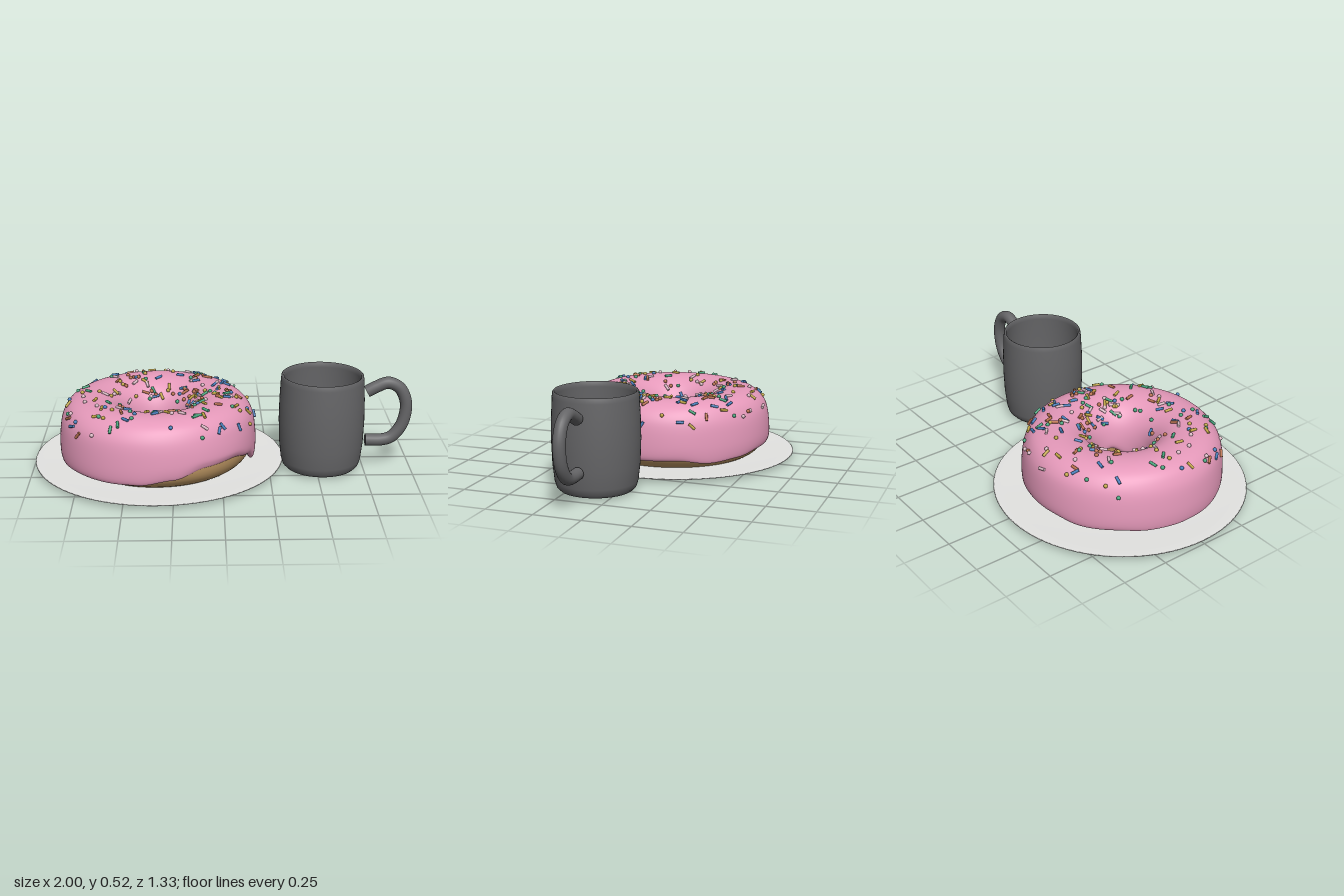
import * as THREE from 'three';
import { mergeGeometries } from 'three/addons/utils/BufferGeometryUtils.js';

const material = (name, color, side = THREE.FrontSide) => {
  const m = new THREE.MeshStandardMaterial({ color, side });
  m.name = name;
  return m;
};
const v2 = (list) => list.map(([x, y]) => new THREE.Vector2(x, y));
const TAU = Math.PI * 2;
const RING = 0.33; // radius of the doughnut's centre line

// Seeded random numbers
let seed = 7;
const rand = () => (seed = (seed * 16807) % 2147483647) / 2147483647;

// Sweep a cross-section (radial offset, height) around the y axis
function sweep(sectionAt, around, steps) {
  const pos = [], index = [];
  for (let i = 0; i < around; i++) {
    const a = (i / around) * TAU;
    const section = sectionAt(a);
    for (let j = 0; j <= steps; j++) {
      const p = section(j / steps);
      pos.push((RING + p.x) * Math.cos(a), p.y, (RING + p.x) * Math.sin(a));
    }
  }
  const n = steps + 1;
  for (let i = 0; i < around; i++) {
    for (let j = 0; j < steps; j++) {
      const p = i * n + j, q = ((i + 1) % around) * n + j;
      index.push(p, p + 1, q, q, p + 1, q + 1);
    }
  }
  const g = new THREE.BufferGeometry();
  g.setAttribute('position', new THREE.Float32BufferAttribute(pos, 3));
  g.setIndex(index);
  g.computeVertexNormals();
  return g;
}

// Height of the icing's outer edge, every 20 degrees, plus one drip
const EDGE = [0.07, 0.1, 0.135, 0.13, 0.085, 0.06, 0.055, 0.055, 0.05,
  0.055, 0.06, 0.07, 0.065, 0.08, 0.08, 0.065, 0.055, 0.075];
function edgeHeight(a) {
  const s = (a / TAU) * EDGE.length, i = Math.floor(s) % EDGE.length;
  const f = (1 - Math.cos((s % 1) * Math.PI)) / 2;
  const y = EDGE[i] * (1 - f) + EDGE[(i + 1) % EDGE.length] * f;
  return y - 0.045 * Math.exp(-(((a - 0.21) / 0.09) ** 2));
}

function icingSection(a) {
  const e = edgeHeight(a), w = 0.004 * Math.sin(3 * a + 1);
  const inner = 0.1 + 0.02 * Math.sin(5 * a);
  const curve = new THREE.SplineCurve(v2([
    [0.155, e + 0.025], [0.176, e], [0.19 + w, e + 0.02], [0.193 + w, (e + 0.23) / 2],
    [0.184 + w, 0.24], [0.165 + w, 0.3], [0.128, 0.345], [0.07, 0.371], [0, 0.377],
    [-0.07, 0.363], [-0.13, 0.324], [-0.17, 0.265], [-0.188, 0.19],
    [-0.185, inner + 0.02], [-0.15, inner],
  ]));
  return (u) => curve.getPoint(u);
}

function doughSection() {
  const bulge = (c) => Math.sign(c) * Math.abs(c) ** 0.8;
  return (u) => new THREE.Vector2(
    0.18 * bulge(Math.cos(u * TAU)), 0.1665 + 0.164 * bulge(Math.sin(u * TAU)));
}

function makeSprinkles(colours) {
  const group = new THREE.Group();
  group.name = 'sprinkles';
  const rod = new THREE.CylinderGeometry(0.0075, 0.0075, 0.04, 8);
  const ball = new THREE.SphereGeometry(0.0105, 10, 8);
  const buckets = colours.map(() => []);
  const up = new THREE.Vector3(0, 1, 0);
  for (let k = 0; k < 215; k++) {
    // A denser patch lies on the right side
    const patch = k >= 175;
    const a = patch ? (rand() - 0.6) * 1.7 + TAU : rand() * TAU;
    const u = (patch ? 6.3 + rand() * 4.5 : 4.3 + rand() * 6.5) / 14;
    const section = icingSection(a % TAU);
    const p = section(u), d = section(u + 0.01).sub(section(u - 0.01)).normalize();
    const radial = new THREE.Vector3(Math.cos(a), 0, Math.sin(a));
    const normal = radial.clone().multiplyScalar(d.y).addScaledVector(up, -d.x);
    const along = radial.clone().multiplyScalar(d.x).addScaledVector(up, d.y);
    const around = new THREE.Vector3(-Math.sin(a), 0, Math.cos(a));
    const turn = rand() * TAU;
    const axis = along.multiplyScalar(Math.cos(turn)).addScaledVector(around, Math.sin(turn));
    const place = radial.multiplyScalar(RING + p.x).addScaledVector(up, p.y)
      .addScaledVector(normal, 0.004);
    const m = new THREE.Matrix4().makeRotationFromQuaternion(
      new THREE.Quaternion().setFromUnitVectors(up, axis)).setPosition(place);
    const shape = rand() < 0.5 ? rod : ball;
    buckets[Math.floor(rand() * colours.length)].push(shape.clone().applyMatrix4(m));
  }
  buckets.forEach((list, i) => {
    const mesh = new THREE.Mesh(mergeGeometries(list), colours[i]);
    mesh.name = colours[i].name + 's';
    group.add(mesh);
  });
  return group;
}

export function createModel() {
  const model = new THREE.Group();
  model.name = 'doughnutAndMug';
  const add = (parent, name, geometry, mat) => {
    const mesh = new THREE.Mesh(geometry, mat);
    mesh.name = name;
    parent.add(mesh);
    return mesh;
  };
  const icing = material('pink icing', 0xe599ba, THREE.DoubleSide);
  const dough = material('baked dough', 0xc39b66);
  const china = material('pale plate', 0xe4e4e2);
  const clay = material('dark mug', 0x656567);
  const sprinkleColours = [
    material('yellow sprinkle', 0xc0a545), material('blue sprinkle', 0x4a80bc),
    material('green sprinkle', 0x48a47c), material('pale sprinkle', 0xdcbcc6),
    material('orange sprinkle', 0xb8704e),
  ];

  // Plate: shallow underside, and an upper face that stops under the doughnut
  const plate = add(model, 'plate', new THREE.LatheGeometry(v2([
    [0, 0.003], [0.4, 0.003], [0.5, 0.007], [0.6, 0.014], [0.665, 0.022],
    [0.66, 0.026], [0.6, 0.023], [0.48, 0.02], [0.33, 0.018],
  ]), 96), china);
  plate.position.x = -0.335;

  // Doughnut
  const doughnut = new THREE.Group();
  doughnut.name = 'doughnut';
  doughnut.position.x = -0.343;
  model.add(doughnut);
  add(doughnut, 'dough', sweep(doughSection, 96, 48), dough).rotation.z = -0.003;
  add(doughnut, 'icing', sweep(icingSection, 144, 56), icing);
  doughnut.add(makeSprinkles(sprinkleColours));

  // Mug body with a hollow inside
  const mug = new THREE.Group();
  mug.name = 'mug';
  mug.position.set(0.525, 0, 0.12);
  model.add(mug);
  add(mug, 'mugBody', new THREE.LatheGeometry(v2([
    [0, 0.01], [0.165, 0.01], [0.187, 0.014], [0.202, 0.03], [0.211, 0.06], [0.221, 0.15],
    [0.225, 0.27], [0.223, 0.38], [0.217, 0.49], [0.214, 0.513], [0.209, 0.518],
    [0.201, 0.513], [0.2, 0.49], [0.207, 0.38], [0.207, 0.2], [0.197, 0.07],
    [0.185, 0.05], [0.17, 0.045], [0, 0.045],
  ]), 64), clay);

  // Handle: a bent tube with flat ends
  const path = new THREE.CatmullRomCurve3([
    [0.235, 0.42], [0.285, 0.447], [0.345, 0.468], [0.405, 0.44], [0.44, 0.37],
    [0.442, 0.3], [0.42, 0.225], [0.37, 0.165], [0.32, 0.15], [0.235, 0.15],
  ].map(([x, y]) => new THREE.Vector3(x, y, 0)));
  add(mug, 'handle', new THREE.TubeGeometry(path, 64, 0.032, 20), clay);
  [0, 1].forEach((t) => {
    const cap = add(mug, 'handleEnd', new THREE.CircleGeometry(0.032, 20), clay);
    const out = path.getTangent(t).multiplyScalar(t ? 1 : -1);
    cap.position.copy(path.getPoint(t));
    cap.quaternion.setFromUnitVectors(new THREE.Vector3(0, 0, 1), out);
  });
  return model;
}
